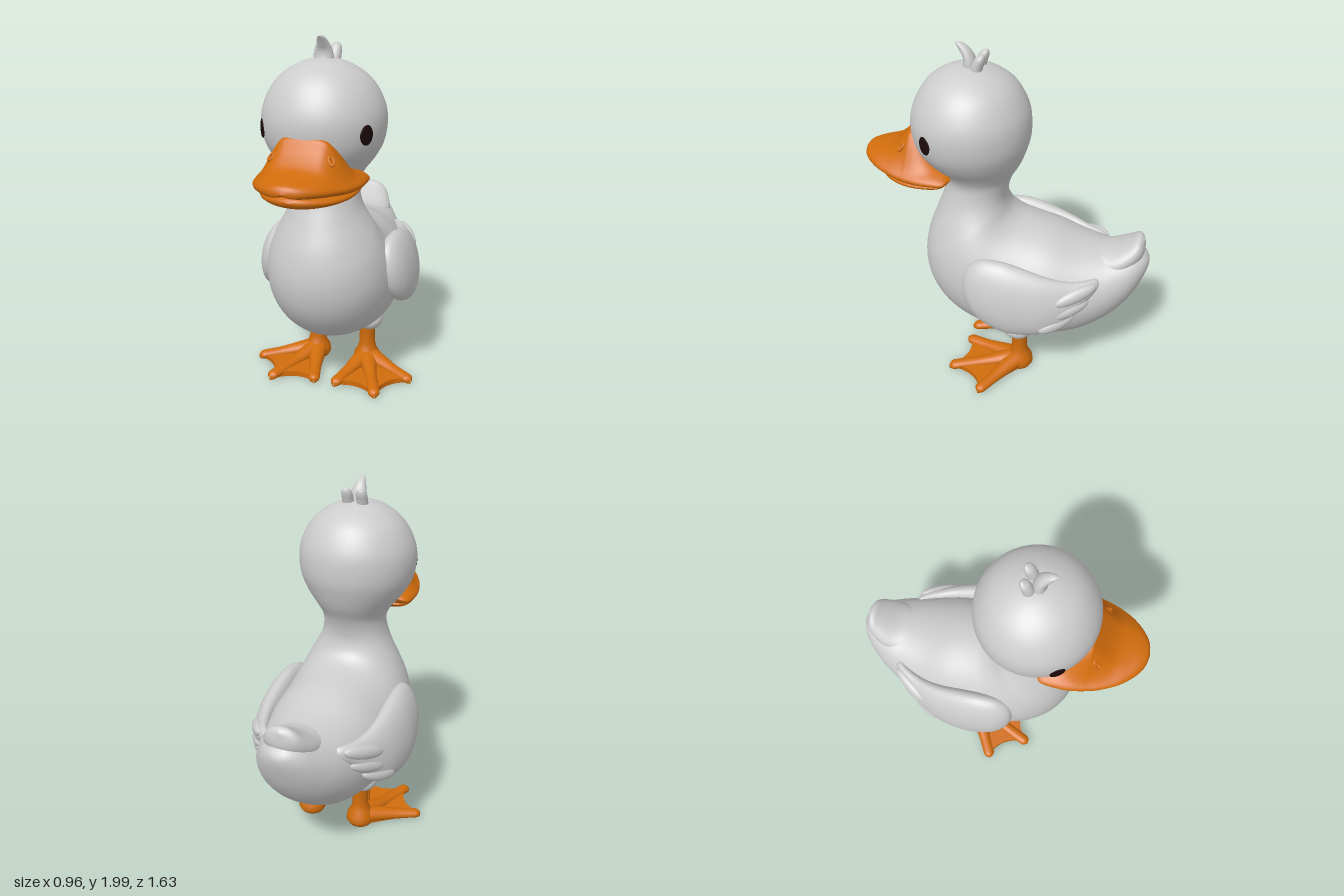
import * as THREE from 'three';

const plumage = new THREE.MeshStandardMaterial({ color: 0xcccccc });
plumage.name = 'pale grey plumage';
const orange = new THREE.MeshStandardMaterial({ color: 0xd06c0c });
orange.name = 'orange';
const dark = new THREE.MeshStandardMaterial({ color: 0x1c0a0c });
dark.name = 'eye dark';

// Catmull-Rom through rows of numbers
function spline(rows, t) {
  const i = Math.min(Math.floor(t), rows.length - 2), f = t - i;
  const at = (k) => rows[Math.max(0, Math.min(rows.length - 1, k))];
  const [a, b, c, d] = [at(i - 1), at(i), at(i + 1), at(i + 2)];
  return b.map((_, k) => b[k] + 0.5 * f * (c[k] - a[k] + f * (2 * a[k] - 5 * b[k] + 4 * c[k] - d[k]
    + f * (3 * (b[k] - c[k]) + d[k] - a[k]))));
}

// Smooth skin over splined cross-sections, always wound outward
function skin(rows, section, segs = 40, sub = 4) {
  const n = (rows.length - 1) * sub, pos = [], idx = [];
  for (let i = 0; i <= n; i++) {
    const row = spline(rows, i / sub);
    for (let j = 0; j < segs; j++) pos.push(...section(row, (j / segs) * Math.PI * 2));
  }
  for (let i = 0; i < n; i++) for (let j = 0; j < segs; j++) {
    const a = i * segs + j, b = i * segs + (j + 1) % segs;
    idx.push(a, b, a + segs, b, b + segs, a + segs);
  }
  const p = (k) => new THREE.Vector3().fromArray(pos, k * 3);
  const mid = p(0).add(p(n * segs)).multiplyScalar(0.5);
  let volume = 0;
  for (let k = 0; k < idx.length; k += 3) {
    const [a, b, c] = [0, 1, 2].map((q) => p(idx[k + q]).sub(mid));
    volume += a.dot(b.cross(c));
  }
  if (volume < 0) idx.reverse();
  const g = new THREE.BufferGeometry();
  g.setAttribute('position', new THREE.Float32BufferAttribute(pos, 3));
  g.setIndex(idx);
  g.computeVertexNormals();
  return g;
}

// Elliptical rings given by back point, front point and half width: [zB, yB, zF, yF, w]
const rings = (rows, x = 0, segs = 48) => skin(rows, ([zb, yb, zf, yf, w], a) => [
  x + Math.max(w, 0) * Math.cos(a),
  (yb + yf) / 2 + (yb - yf) / 2 * Math.sin(a),
  (zb + zf) / 2 + (zb - zf) / 2 * Math.sin(a)], segs);

function add(parent, name, geometry, material) {
  const m = new THREE.Mesh(geometry, material);
  m.name = name;
  parent.add(m);
  return m;
}

function ball(parent, name, material, p, r) {
  const m = add(parent, name, new THREE.SphereGeometry(1, 28, 18), material);
  m.position.set(...p);
  m.scale.set(...r);
  return m;
}

function addBody(g) {
  // tail, belly, neck and head in one sweep
  add(g, 'bodyNeckAndHead', rings([
    [-0.805, 0.845, -0.805, 0.845, 0], [-0.775, 0.875, -0.818, 0.81, 0.055],
    [-0.72, 0.89, -0.80, 0.73, 0.12], [-0.65, 0.885, -0.745, 0.60, 0.18],
    [-0.55, 0.88, -0.64, 0.46, 0.245], [-0.42, 0.905, -0.47, 0.33, 0.305],
    [-0.28, 0.955, -0.27, 0.26, 0.345], [-0.15, 0.985, -0.06, 0.24, 0.36],
    [-0.08, 1.005, 0.15, 0.29, 0.365], [-0.04, 1.03, 0.32, 0.38, 0.355],
    [-0.015, 1.06, 0.44, 0.53, 0.33], [0, 1.1, 0.485, 0.70, 0.29],
    [0.005, 1.14, 0.465, 0.87, 0.24], [0, 1.18, 0.41, 1.02, 0.2],
    [-0.01, 1.22, 0.365, 1.14, 0.182], [-0.03, 1.27, 0.35, 1.22, 0.182],
    [-0.07, 1.34, 0.37, 1.28, 0.215], [-0.10, 1.42, 0.43, 1.34, 0.27],
    [-0.12, 1.5, 0.50, 1.43, 0.315], [-0.12, 1.6, 0.525, 1.54, 0.33],
    [-0.1, 1.68, 0.515, 1.64, 0.315], [-0.05, 1.77, 0.47, 1.74, 0.265],
    [0.02, 1.83, 0.4, 1.82, 0.19], [0.11, 1.872, 0.3, 1.87, 0.095],
    [0.205, 1.885, 0.205, 1.885, 0]], 0, 64), plumage);
  add(g, 'upperTailFeather', rings([
    [-0.47, 0.8, -0.47, 0.8, 0], [-0.5, 0.87, -0.55, 0.74, 0.12], [-0.6, 0.89, -0.66, 0.75, 0.15],
    [-0.69, 0.94, -0.74, 0.8, 0.125], [-0.745, 0.978, -0.785, 0.87, 0.08],
    [-0.78, 0.955, -0.78, 0.955, 0]]), plumage);

  // crest curls
  add(g, 'frontCrestCurl', rings([
    [0.16, 1.85, 0.25, 1.84, 0.05], [0.165, 1.89, 0.235, 1.885, 0.05],
    [0.18, 1.935, 0.235, 1.92, 0.042], [0.21, 1.975, 0.25, 1.95, 0.03],
    [0.25, 1.998, 0.268, 1.98, 0.018], [0.28, 1.995, 0.28, 1.995, 0]], 0, 20), plumage);
  for (const s of [-1, 1]) add(g, 'rearCrestCurl', rings([
    [0.13, 1.85, 0.19, 1.85, 0.03], [0.12, 1.89, 0.18, 1.895, 0.032],
    [0.11, 1.925, 0.16, 1.935, 0.03], [0.112, 1.948, 0.14, 1.95, 0.018],
    [0.122, 1.957, 0.122, 1.957, 0]], s * 0.042, 20), plumage);
}

function addBill(g) {
  // rows: z, half width, centre y, half thickness, ridge height
  const { smoothstep } = THREE.MathUtils;
  add(g, 'upperBill', skin([
    [0.265, 0.22, 1.315, 0, 0], [0.29, 0.272, 1.315, 0.045, 0], [0.36, 0.283, 1.32, 0.06, 0.01],
    [0.44, 0.28, 1.32, 0.065, 0.13], [0.505, 0.268, 1.32, 0.065, 0.15], [0.535, 0.26, 1.32, 0.063, 0.125],
    [0.585, 0.245, 1.322, 0.06, 0.07], [0.64, 0.22, 1.325, 0.056, 0.025], [0.70, 0.185, 1.328, 0.052, 0.006],
    [0.76, 0.13, 1.33, 0.046, 0], [0.80, 0.07, 1.33, 0.032, 0], [0.815, 0, 1.33, 0, 0],
  ], ([z, w, cy, t, ridge], a) => {
    const x = Math.max(w, 0) * Math.cos(a), edge = Math.max(0.13, Math.min(0.26, w * 0.95));
    const bump = Math.sin(a) > 0 ? Math.max(ridge, 0) * (1 - smoothstep(Math.abs(x), 0.1, edge)) : 0;
    const arch = Math.sin(a) < 0 ? 0.35 : 1; // hollow underside
    return [x, cy - 0.35 * t * (x / 0.28) ** 2 + t * Math.sin(a) * (arch + (1 - arch) * Math.abs(Math.cos(a))) + bump, z];
  }, 72, 4), orange);
  add(g, 'lowerBill', skin([
    [0.28, 0.15, 1.27, 0], [0.31, 0.235, 1.268, 0.03], [0.38, 0.255, 1.262, 0.045], [0.5, 0.245, 1.255, 0.045],
    [0.6, 0.2, 1.252, 0.042], [0.67, 0.14, 1.255, 0.036], [0.715, 0.07, 1.26, 0.022], [0.73, 0, 1.262, 0],
  ], ([z, w, cy, t], a) => [Math.max(w, 0) * Math.cos(a), cy + t * Math.sin(a), z]), orange);
  for (const s of [-1, 1]) {
    const nostril = add(g, 'nostril', new THREE.TorusGeometry(0.017, 0.007, 10, 24), orange);
    nostril.position.set(s * 0.155, 1.437, 0.553);
    nostril.scale.set(0.8, 1.3, 1);
    nostril.lookAt(s * 0.65, 2.1, 1.15);
  }
}

function addWing(g, s) {
  // rows: z, top y, bottom y, outer x, inner x
  add(g, 'wing', skin([
    [0.178, 0.73, 0.73, 0.35, 0.35], [0.155, 0.83, 0.63, 0.395, 0.30], [0.085, 0.89, 0.54, 0.435, 0.28],
    [-0.02, 0.902, 0.49, 0.453, 0.28], [-0.12, 0.885, 0.472, 0.455, 0.28], [-0.25, 0.845, 0.48, 0.435, 0.28],
    [-0.35, 0.815, 0.515, 0.4, 0.27], [-0.43, 0.797, 0.58, 0.355, 0.245], [-0.5, 0.795, 0.66, 0.305, 0.215],
    [-0.55, 0.79, 0.715, 0.255, 0.185], [-0.575, 0.76, 0.76, 0.205, 0.205],
  ], ([z, top, bot, out, inn], a) => {
    const lift = (top - bot) / 2 * Math.sin(a);
    return [s * ((out + inn) / 2 + (out - inn) / 2 * Math.cos(a) - 0.15 * lift), (top + bot) / 2 + lift, z];
  }), plumage);
  // trailing feathers: centre x, y, z and half length
  for (const [x, y, z, len] of [[0.315, 0.735, -0.45, 0.13], [0.33, 0.645, -0.425, 0.12], [0.365, 0.56, -0.36, 0.11]]) {
    const feather = ball(g, 'wingFeather', plumage, [s * x, y, z], [0.035, 0.042, len]);
    feather.lookAt(s * (x - 0.55), y + 0.3, z - 0.85);
  }
}

function addLeg(g, s) {
  ball(g, 'thigh', plumage, [s * 0.18, 0.305, -0.1], [0.075, 0.065, 0.09]);
  const profile = [[0, 0.005], [0.07, 0.005], [0.083, 0.03], [0.078, 0.065], [0.058, 0.1], [0.047, 0.14], [0.046, 0.2], [0.052, 0.28]];
  const leg = add(g, 'leg', new THREE.LatheGeometry(profile.map((p) => new THREE.Vector2(...p)), 28), orange);
  leg.position.set(s * 0.16, 0, -0.11);

  // three toes fanning outward from the heel
  const hx = 0.16, hz = -0.11, tips = [[0.06, 0.25], [0.32, 0.295], [0.48, 0.075]];
  for (const [tx, tz] of tips) {
    const len = Math.hypot(tx - hx, tz - hz), dx = (tx - hx) / len, dz = (tz - hz) / len;
    // rows: distance, half width, height
    add(g, 'toe', skin([[-0.03, 0, 0.08], [0, 0.06, 0.1], [0.1, 0.05, 0.085], [0.22, 0.036, 0.062],
      [len - 0.06, 0.034, 0.052], [len - 0.02, 0.03, 0.046], [len, 0.002, 0.03]],
    ([d, w, h], a) => {
      const across = Math.max(w, 0) * Math.cos(a);
      return [s * (hx + dx * d - dz * across), 0.005 + h / 2 + h / 2 * Math.sin(a), hz + dz * d + dx * across];
    }, 20), orange);
  }

  // webbing with scalloped edges
  const web = new THREE.Shape();
  web.moveTo(s * 0.12, -0.14);
  web.lineTo(s * tips[0][0], 0.23);
  web.quadraticCurveTo(s * 0.19, 0.16, s * 0.31, 0.275);
  web.quadraticCurveTo(s * 0.33, 0.10, s * 0.46, 0.07);
  web.lineTo(s * 0.18, -0.16);
  const plate = new THREE.ExtrudeGeometry(web, { depth: 0.03, bevelEnabled: false, curveSegments: 12 });
  add(g, 'webbing', plate.rotateX(Math.PI / 2).translate(0, 0.038, 0), orange);
}

export function createModel() {
  const g = new THREE.Group();
  g.name = 'duck';
  addBody(g);
  addBill(g);
  for (const s of [-1, 1]) {
    addWing(g, s);
    addLeg(g, s);
    const eye = ball(g, 'eye', dark, [s * 0.277, 1.535, 0.373], [0.041, 0.052, 0.009]);
    eye.lookAt(s * 0.85, 1.535, 0.75);
  }
  return g;
}
